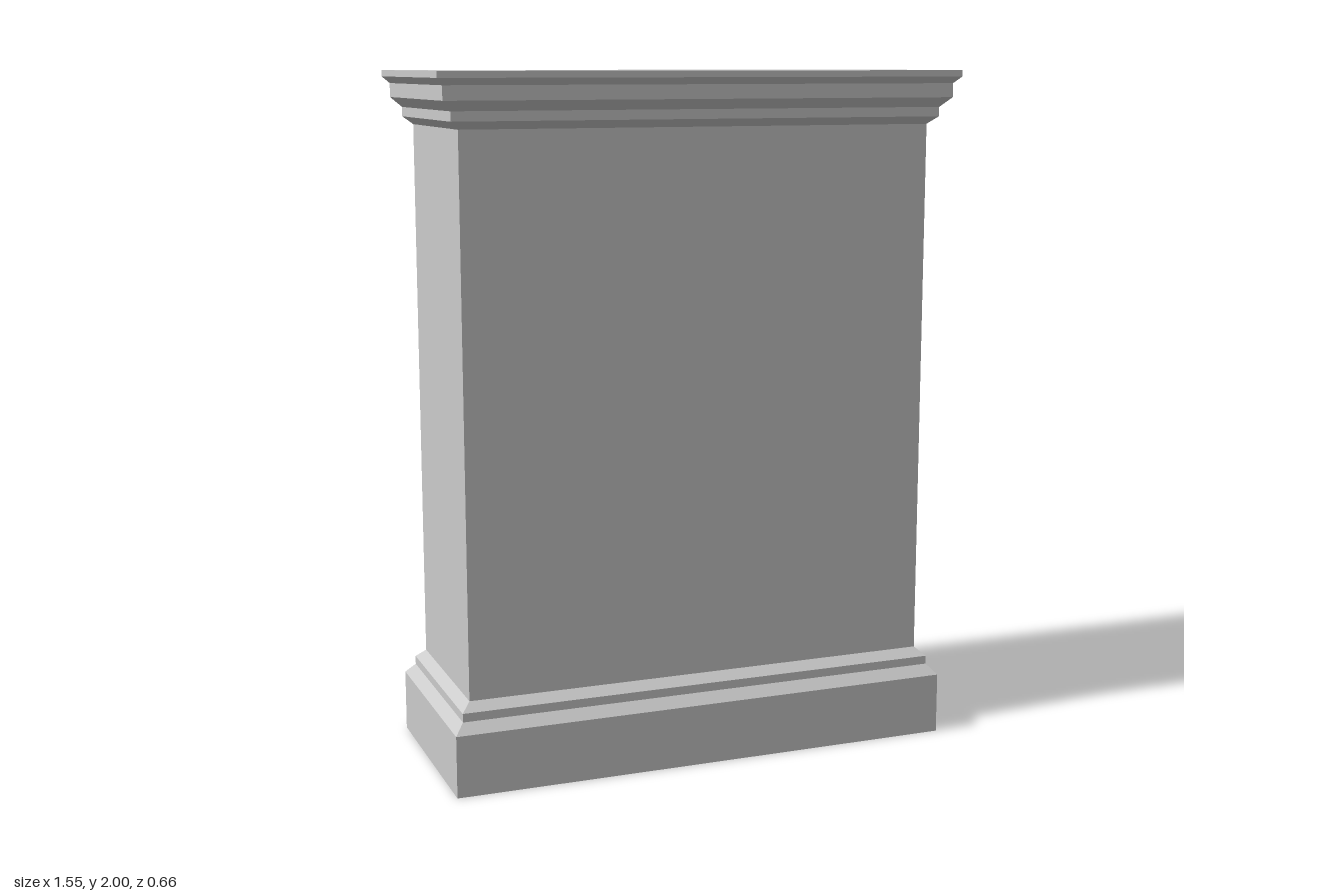
import * as THREE from 'three';

const material = new THREE.MeshStandardMaterial({ color: 0xcccccc });

function part(name, geometry, x = 0, y = 0, z = 0) {
  const mesh = new THREE.Mesh(geometry, material);
  mesh.name = name;
  mesh.position.set(x, y, z);
  return mesh;
}

// Hard-edged surface through rectangular rings [halfX, halfZ, y]
function loftRectangles(rings) {
  const positions = [];
  const corner = ([hx, hz, y], i) => [[hx, y, hz], [hx, y, -hz], [-hx, y, -hz], [-hx, y, hz]][i % 4];
  for (let r = 0; r < rings.length - 1; r++) {
    const [lower, upper] = [rings[r], rings[r + 1]];
    for (let i = 0; i < 4; i++) {
      const a = corner(lower, i), b = corner(lower, i + 1);
      const c = corner(upper, i + 1), d = corner(upper, i);
      if (lower[0] > 0) positions.push(...a, ...b, ...c);
      if (upper[0] > 0) positions.push(...a, ...c, ...d);
    }
  }
  const geometry = new THREE.BufferGeometry();
  geometry.setAttribute('position', new THREE.Float32BufferAttribute(positions, 3));
  geometry.computeVertexNormals();
  return geometry;
}

// Rings of a moulding that runs evenly round the carcass, from [halfX, y] pairs
const mouldingRings = (profile) => profile.map(([hx, y]) => [hx, hx - 0.449, y]);

function rectanglePath(path, x0, y0, x1, y1) {
  path.moveTo(x0, y0);
  path.lineTo(x1, y0);
  path.lineTo(x1, y1);
  path.lineTo(x0, y1);
  path.closePath();
  return path;
}

// Turned knob: narrow neck, flared head, domed end; points along +z
function knob(name, radius, length, x, y, z) {
  const profile = [
    [0.55, -0.05], [0.5, 0.15], [0.62, 0.27], [0.88, 0.38], [1, 0.52],
    [0.97, 0.68], [0.8, 0.84], [0.48, 0.95], [0, 1],
  ].map(([r, h]) => new THREE.Vector2(r * radius, h * length));
  const geometry = new THREE.LatheGeometry(profile, 24);
  geometry.rotateX(Math.PI / 2);
  return part(name, geometry, x, y, z);
}

// Framed door with two bevelled recesses
function door(side) {
  const group = new THREE.Group();
  group.name = side > 0 ? 'doorA' : 'doorB';
  const halfW = 0.272, halfH = 0.5225, border = 0.065, thickness = 0.028, bevel = 0.023;
  const openW = halfW - border;
  const openH = (halfH - border * 1.5) / 2;
  const shape = rectanglePath(new THREE.Shape(), -halfW, -halfH, halfW, halfH);
  for (const s of [-1, 1]) {
    const cy = s * (openH + border / 2);
    shape.holes.push(rectanglePath(new THREE.Path(), -openW, cy - openH, openW, cy + openH));
    const recess = loftRectangles([
      [openW, openH, thickness],
      [openW - bevel, openH - bevel, thickness - bevel],
      [0, 0, thickness - bevel],
    ]);
    recess.rotateX(Math.PI / 2);
    group.add(part('doorPanel', recess, 0, cy, 0));
  }
  group.add(part('doorFrame', new THREE.ExtrudeGeometry(shape, { depth: thickness, bevelEnabled: false })));
  group.add(knob('doorKnob', 0.036, 0.05, -side * 0.238, 0.0025, thickness));
  group.position.set(side * 0.347, 1.2575, 0.253);
  return group;
}

function drawer(x, y) {
  const group = new THREE.Group();
  group.name = 'drawer';
  group.add(part('drawerFront', new THREE.BoxGeometry(0.356, 0.1, 0.016), 0, 0, 0.008));
  group.add(knob('drawerKnob', 0.027, 0.042, 0, 0, 0.016));
  group.position.set(x, y, 0.253);
  return group;
}

export function createModel() {
  const model = new THREE.Group();
  model.name = 'cabinet';

  // Stepped plinth, carcass and cornice
  model.add(part('plinth', loftRectangles([
    [0, 0, 0],
    ...mouldingRings([[0.756, 0], [0.756, 0.18], [0.729, 0.21], [0.729, 0.235], [0.702, 0.26]]),
  ])));
  model.add(part('carcass', loftRectangles(mouldingRings([[0.702, 0.26], [0.702, 1.846]]))));
  model.add(part('cornice', loftRectangles([
    ...mouldingRings([
      [0.702, 1.846], [0.728, 1.868], [0.728, 1.895], [0.756, 1.923],
      [0.756, 1.963], [0.775, 1.982], [0.775, 2],
    ]),
    [0, 0, 2],
  ])));

  // Doors and drawers on the -z face
  const fittings = new THREE.Group();
  fittings.name = 'doorsAndDrawers';
  fittings.rotation.y = Math.PI;
  for (const side of [-1, 1]) fittings.add(door(side));
  for (const y of [0.405, 0.605]) {
    for (const x of [-0.441, 0, 0.441]) fittings.add(drawer(x, y));
  }
  model.add(fittings);
  return model;
}
